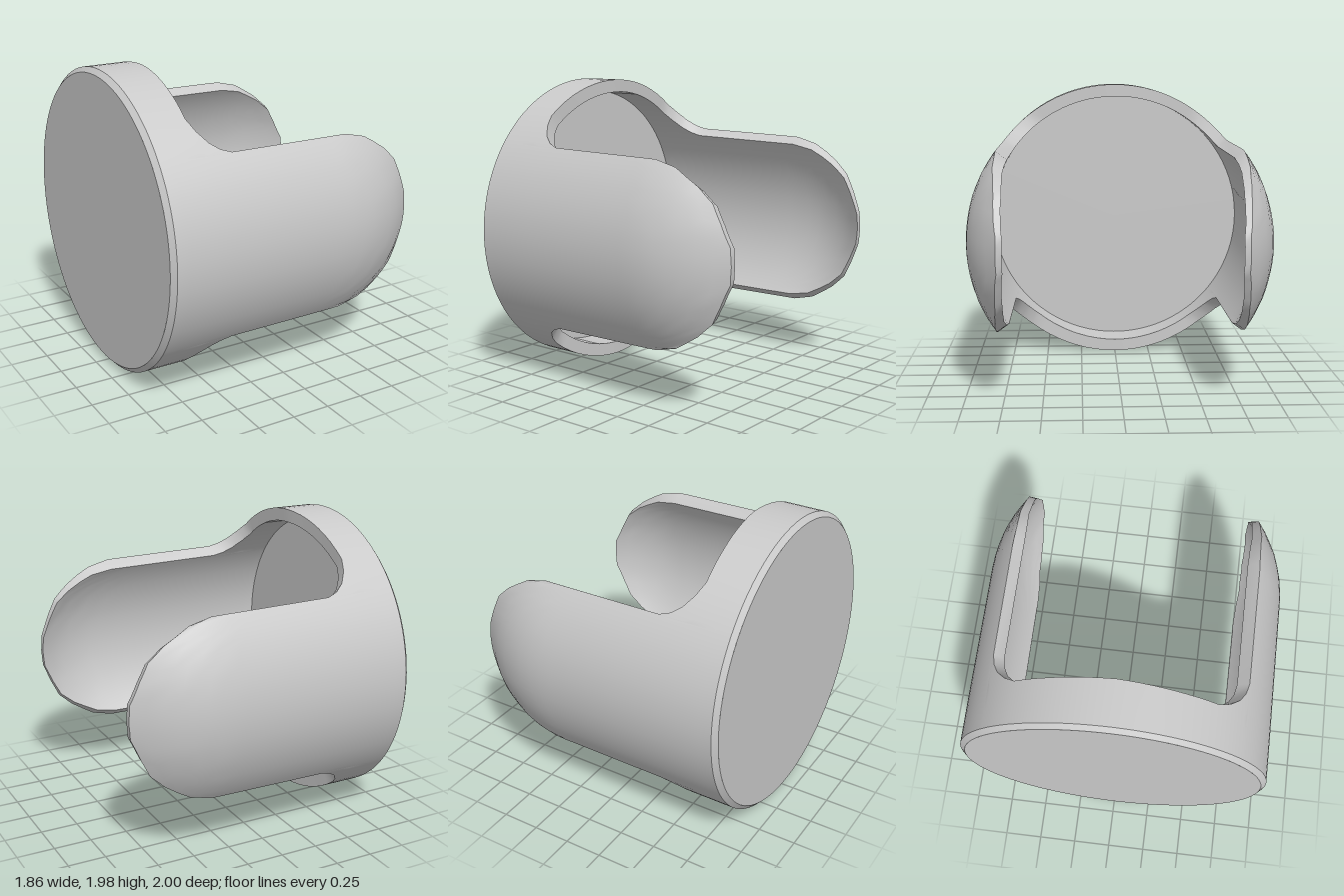
import * as THREE from 'three';
import { toCreasedNormals } from 'three/addons/utils/BufferGeometryUtils.js';

const HALF_HEIGHT = 0.99; // the tube is a touch lower than it is deep
const FLOOR_X = -0.855;

// Piecewise-linear lookup in a list of [key, value] pairs
function lookup(table, k) {
  if (k <= table[0][0]) return table[0][1];
  for (let i = 1; i < table.length; i++) {
    const [k0, v0] = table[i - 1], [k1, v1] = table[i];
    if (k <= k1) return v0 + (v1 - v0) * (k - k0) / (k1 - k0);
  }
  return table[table.length - 1][1];
}

// Outer radius along the axis: straight wall, then a domed end
const DOME = [[-0.6, 1], [0.38, 0.995], [0.52, 0.977], [0.65, 0.94], [0.8, 0.868], [0.93, 0.765]];
const outerRadius = (x) => lookup(DOME, x);

// Wall is slightly thicker at the front and thins towards the prong tips
const innerRadius = (x, a) => {
  const k = 0.914 - 0.008 * Math.cos(a);
  return outerRadius(x) * lookup([[0.4, k], [0.93, 0.95]], x);
};

// Cut edge for a quarter turn: [height from axis, x], prong tip to rim
const CUT = [[0, 0.93], [0.11, 0.922], [0.25, 0.862], [0.36, 0.808], [0.45, 0.71], [0.552, 0.545],
  [0.588, 0.4], [0.598, -0.42], [0.62, -0.49], [0.66, -0.55], [0.72, -0.6], [0.78, -0.63],
  [0.9, -0.625], [0.99, -0.61]];

function cutLoop() {
  const quarter = [];
  const pts = CUT.map(([h, x]) => [Math.asin(Math.min(1, h / HALF_HEIGHT / outerRadius(x))), x]);
  for (let i = 0; i < pts.length - 1; i++) {
    const [a0, x0] = pts[i], [a1, x1] = pts[i + 1];
    const n = Math.max(1, Math.ceil((a1 - a0) / 0.08));
    for (let s = 0; s < n; s++) quarter.push([a0 + (a1 - a0) * s / n, x0 + (x1 - x0) * s / n]);
  }
  quarter.push([Math.PI / 2, pts[pts.length - 1][1]]);
  // Mirror into a half turn, then repeat for the other prong
  const half = quarter.concat(quarter.slice(1, -1).reverse().map(([a, x]) => [Math.PI - a, x]));
  return half.concat(half.map(([a, x]) => [a + Math.PI, x])).filter(([a], i, all) => i === 0 || a > all[i - 1][0]);
}

// Sweep a wall section (outside, cut edge, inside) around the axis
function shellGeometry() {
  const loop = cutLoop(), rows = 22, pos = [], index = [];
  const m = 2 * rows + 3;
  for (const [a, end] of loop) {
    const section = [[-0.93, 0.967]];
    for (let j = 0; j <= rows; j++) {
      const x = THREE.MathUtils.lerp(-0.9, end, j / rows);
      section.push([x, outerRadius(x)]);
    }
    for (let j = 0; j <= rows; j++) {
      const x = THREE.MathUtils.lerp(end, FLOOR_X, j / rows);
      section.push([x, innerRadius(x, a)]);
    }
    for (const [x, r] of section) pos.push(x, HALF_HEIGHT * (1 + r * Math.sin(a)), r * Math.cos(a));
  }
  for (let i = 0; i < loop.length; i++) {
    const p = i * m, q = ((i + 1) % loop.length) * m;
    for (let j = 0; j < m - 1; j++) {
      index.push(p + j, p + j + 1, q + j + 1, p + j, q + j + 1, q + j);
    }
  }
  const g = new THREE.BufferGeometry();
  g.setAttribute('position', new THREE.Float32BufferAttribute(pos, 3));
  g.setIndex(index);
  return toCreasedNormals(g, 0.6);
}

export function createModel() {
  const group = new THREE.Group();
  group.name = 'prongedCup';
  const grey = new THREE.MeshStandardMaterial({ color: 0xcacaca });
  grey.name = 'plain grey';

  const add = (name, geometry) => {
    const mesh = new THREE.Mesh(geometry, grey);
    mesh.name = name;
    group.add(mesh);
    return mesh;
  };
  // Flat round face across the tube, facing along x
  const addDisc = (name, radius, x, turn) => {
    const disc = add(name, new THREE.CircleGeometry(radius, 96).scale(1, HALF_HEIGHT, 1));
    disc.position.set(x, HALF_HEIGHT, 0);
    disc.rotation.y = turn;
  };

  // Rim and two prongs in one wall
  add('wallWithProngs', shellGeometry());
  // Closed end: outside face and inside floor
  addDisc('endFace', 0.967, -0.93, -Math.PI / 2);
  addDisc('innerFloor', 0.925, FLOOR_X, Math.PI / 2);
  return group;
}
